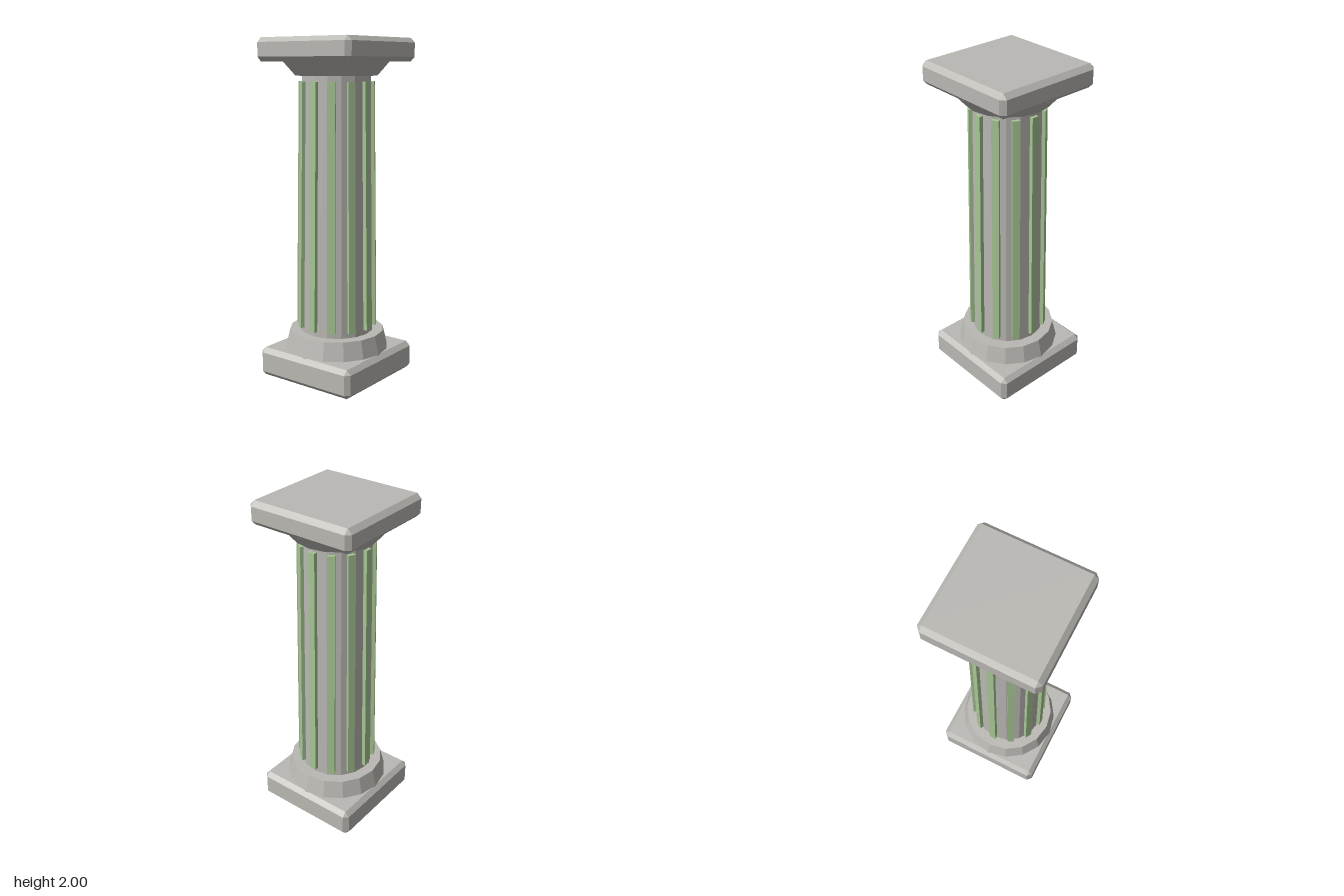
import * as THREE from 'three';
import { ConvexGeometry } from 'three/addons/geometries/ConvexGeometry.js';

const stone = new THREE.MeshStandardMaterial({ color: 0xbab8b3, flatShading: true });
stone.name = 'stone';
const moss = new THREE.MeshStandardMaterial({ color: 0xa6c594, flatShading: true });
moss.name = 'paleGreen';

// Box with every edge and corner cut flat
function chamferedBox(w, h, d, c) {
  const points = [];
  for (const x of [-w / 2, w / 2])
    for (const y of [-h / 2, h / 2])
      for (const z of [-d / 2, d / 2]) {
        const sx = Math.sign(x) * c, sy = Math.sign(y) * c, sz = Math.sign(z) * c;
        points.push(
          new THREE.Vector3(x, y - sy, z - sz),
          new THREE.Vector3(x - sx, y, z - sz),
          new THREE.Vector3(x - sx, y - sy, z)
        );
      }
  return new ConvexGeometry(points);
}

export function createModel() {
  const column = new THREE.Group();
  column.name = 'column';

  function add(parent, name, geometry, material, y) {
    const mesh = new THREE.Mesh(geometry, material);
    mesh.name = name;
    mesh.position.y = y;
    parent.add(mesh);
    return mesh;
  }

  // Sixteen-sided drum between two heights
  function drum(name, rTop, rBottom, y0, y1) {
    add(column, name, new THREE.CylinderGeometry(rTop, rBottom, y1 - y0, 16), stone, (y0 + y1) / 2);
  }

  // Square slabs
  add(column, 'plinth', chamferedBox(0.664, 0.172, 0.664, 0.027), stone, 0.086);
  add(column, 'abacus', chamferedBox(0.664, 0.135, 0.664, 0.027), stone, 1.9325);

  // Round parts
  drum('baseRing', 0.283, 0.311, 0.165, 0.28);
  drum('shaft', 0.2, 0.219, 0.27, 1.8);
  drum('capital', 0.31, 0.238, 1.787, 1.868);

  // Twelve raised ribs leaning with the taper of the shaft
  const ribs = new THREE.Group();
  ribs.name = 'ribs';
  const y0 = 0.31, y1 = 1.755, depth = 0.04;
  const rBottom = 0.239, rTop = 0.218;
  const lean = Math.atan((rBottom - rTop) / (y1 - y0));
  const ribGeometry = new THREE.BoxGeometry(0.042, y1 - y0, depth);
  for (let i = 0; i < 12; i++) {
    const pivot = new THREE.Group();
    pivot.name = 'ribPivot';
    pivot.rotation.y = (i * Math.PI) / 6;
    const rib = add(pivot, 'rib', ribGeometry, moss, (y0 + y1) / 2);
    rib.position.z = (rBottom + rTop) / 2 - depth / 2;
    rib.rotation.x = -lean;
    ribs.add(pivot);
  }
  column.add(ribs);
  return column;
}
